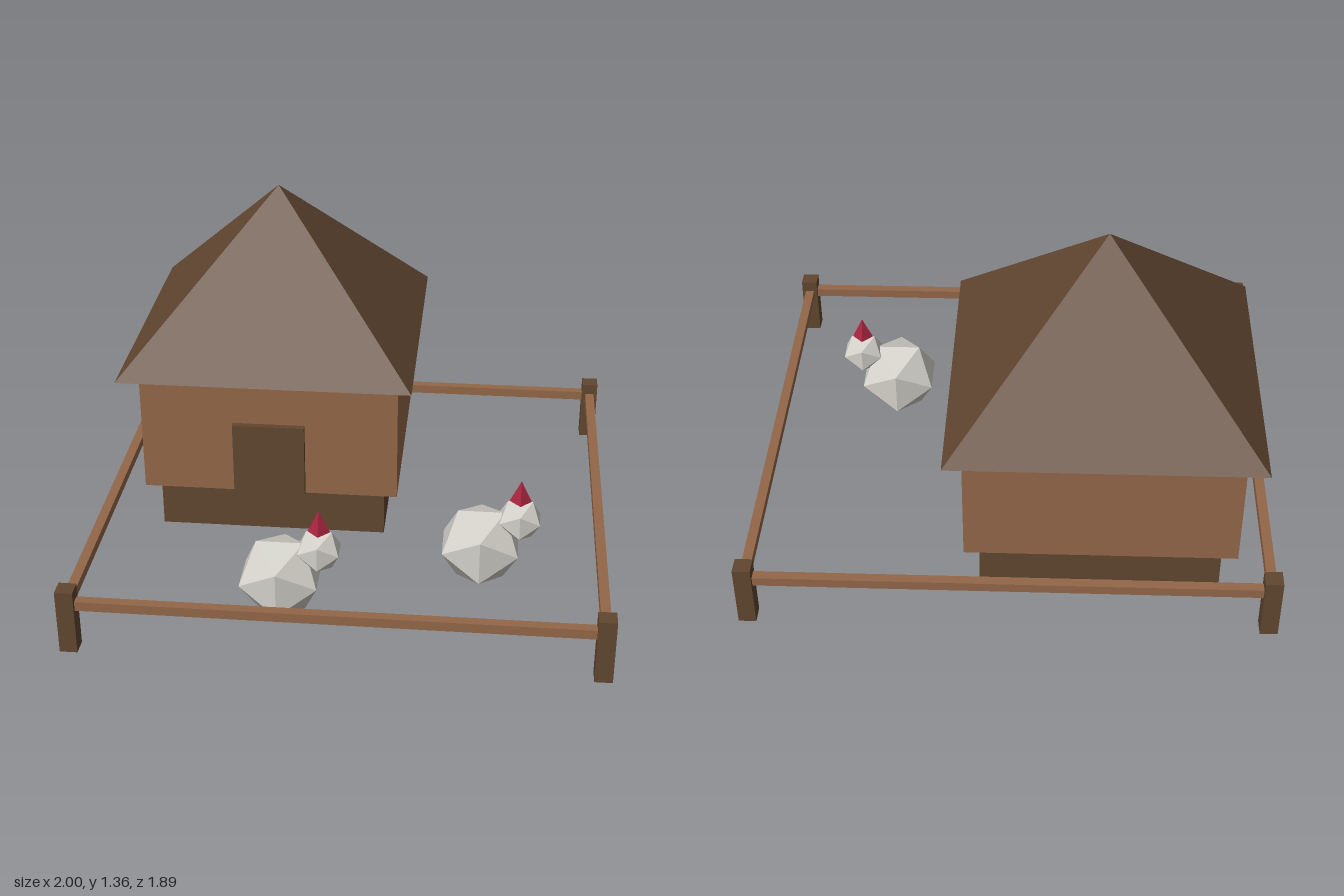
import * as THREE from 'three';

export function createModel() {
  const model = new THREE.Group();
  model.name = 'henHouseYard';

  const material = (name, color) => {
    const m = new THREE.MeshStandardMaterial({ color });
    m.name = name;
    m.flatShading = true;
    return m;
  };
  const wood = material('wood', 0x936748);
  const darkWood = material('darkWood', 0x614630);
  const feathers = material('feathers', 0xd2d0c8);
  const red = material('combRed', 0xa8243f);

  const add = (parent, name, geometry, mat, x, y, z) => {
    const mesh = new THREE.Mesh(geometry, mat);
    mesh.name = name;
    mesh.position.set(x, y, z);
    parent.add(mesh);
    return mesh;
  };
  const box = (w, h, d) => new THREE.BoxGeometry(w, h, d);

  // House: plinth, walls, door and pyramid roof
  const house = new THREE.Group();
  house.name = 'house';
  house.position.set(-0.342, 0, -0.34);
  model.add(house);
  add(house, 'plinth', box(0.91, 0.205, 0.74), darkWood, 0, 0.1025, 0);
  add(house, 'walls', box(1.02, 0.535, 0.85), wood, 0, 0.4725, 0);
  add(house, 'door', box(0.285, 0.305, 0.05), darkWood, 0, 0.3575, 0.425);
  const roofGeometry = new THREE.ConeGeometry(0.57 * Math.SQRT2, 0.615, 4).rotateY(Math.PI / 4);
  add(house, 'roof', roofGeometry, darkWood, 0, 1.0475, 0);

  // Fence: corner posts and a single rail on each side
  const fence = new THREE.Group();
  fence.name = 'fence';
  model.add(fence);
  const px = 0.967, pz = 0.912;
  for (const s of [-1, 1]) {
    for (const t of [-1, 1]) add(fence, 'post', box(0.066, 0.256, 0.066), darkWood, s * px, 0.128, t * pz);
    add(fence, 'longRail', box(2 * px, 0.037, 0.037), wood, 0, 0.192, s * pz);
    add(fence, 'sideRail', box(0.037, 0.037, 2 * pz), wood, s * px, 0.192, 0);
  }

  // Hens: faceted body and head with a pointed comb
  for (const [x, z] of [[-0.228, 0.625], [0.51, 0.34]]) {
    const hen = new THREE.Group();
    hen.name = 'hen';
    hen.position.set(x, 0, z);
    model.add(hen);
    add(hen, 'body', new THREE.IcosahedronGeometry(0.17, 0), feathers, 0, 0.168, 0);
    add(hen, 'head', new THREE.IcosahedronGeometry(0.09, 0), feathers, 0.146, 0.29, 0);
    add(hen, 'comb', new THREE.ConeGeometry(0.042, 0.088, 4), red, 0.146, 0.411, 0);
  }

  return model;
}
